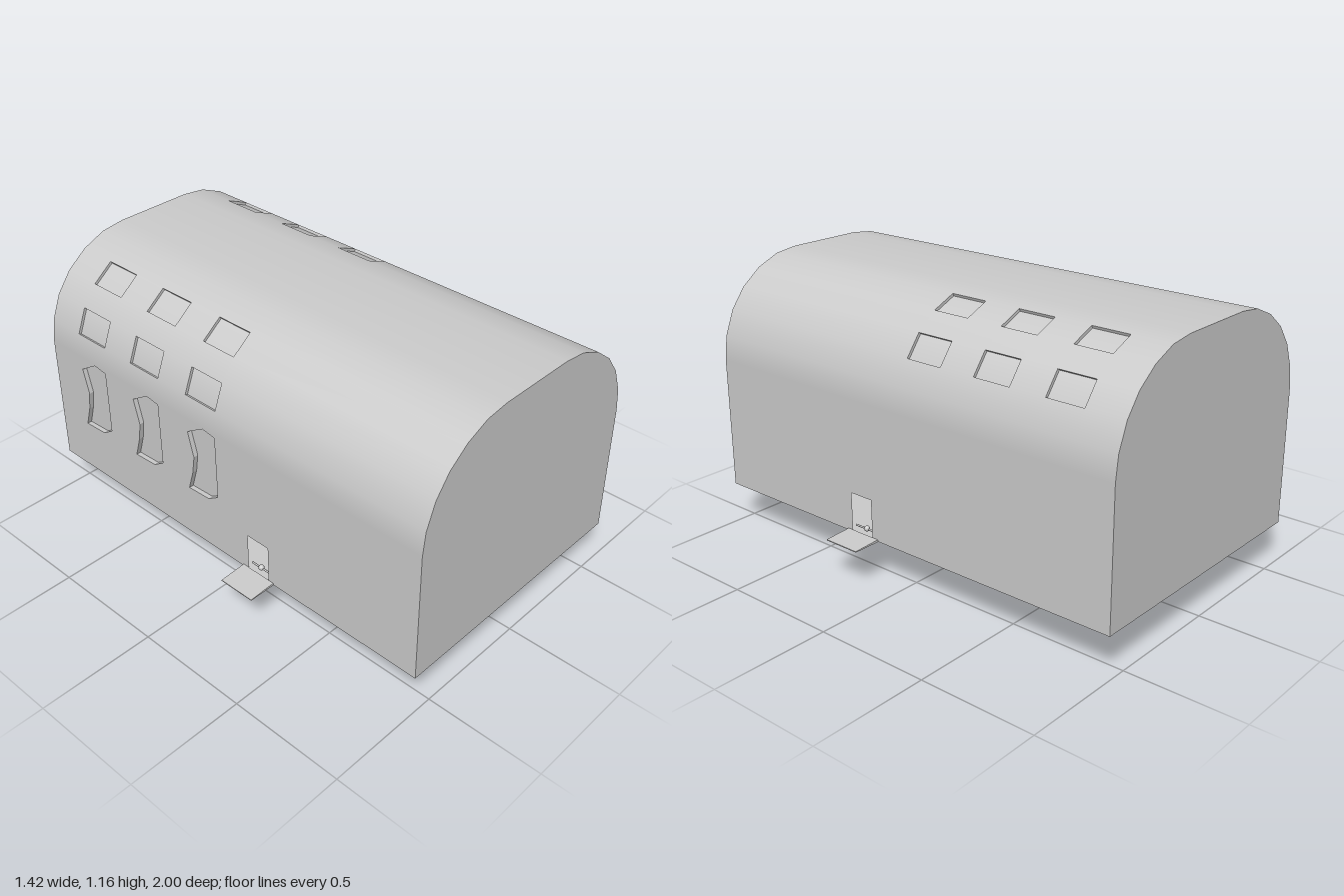
import * as THREE from 'three';

const FLOOR = 0.18, WALL = 0.59, EAVE = 0.75;
// right half of the arched cross-section, from eave to ridge
const HALF = [[WALL, EAVE], [0.577, 0.85], [0.535, 0.955], [0.47, 1.04], [0.382, 1.107], [0.28, 1.15], [0.175, 1.163]];
const PROFILE = [...HALF, ...HALF.slice().reverse().map(([x, y]) => [-x, y])];
const WINDOW_Z = [[-0.83, -0.665], [-0.505, -0.34], [-0.18, -0.015]];
const WINDOW_FACETS = [2, 4, 9, 11];

export function createModel() {
  const model = new THREE.Group();
  const mat = new THREE.MeshStandardMaterial({ color: 0xcccccc, side: THREE.DoubleSide });
  const add = (name, geometry, parent = model) => {
    const mesh = new THREE.Mesh(geometry, mat);
    mesh.name = name;
    parent.add(mesh);
    return mesh;
  };

  // outward direction of each roof facet, and smooth normal at each profile point
  const facet = i => {
    const [a, b] = [PROFILE[i], PROFILE[i + 1]];
    return new THREE.Vector2(b[1] - a[1], a[0] - b[0]).normalize();
  };
  const last = PROFILE.length - 1;
  const normals = PROFILE.map((_, i) => {
    if (i === 0) return new THREE.Vector2(1, 0);
    if (i === last) return new THREE.Vector2(-1, 0);
    return facet(i - 1).add(facet(i)).normalize();
  });

  // quads with given corners and optional corner normals
  const quads = list => {
    const pos = [], nor = [];
    for (const { p, n } of list)
      for (const k of [0, 1, 2, 0, 2, 3]) {
        pos.push(...p[k]);
        if (n) nor.push(...n[k]);
      }
    const g = new THREE.BufferGeometry();
    g.setAttribute('position', new THREE.Float32BufferAttribute(pos, 3));
    if (nor.length) g.setAttribute('normal', new THREE.Float32BufferAttribute(nor, 3));
    else g.computeVertexNormals();
    return g;
  };

  // arched roof with window openings, and the recessed panes behind them
  const zs = [-1, ...WINDOW_Z.flat(), 1];
  const roof = [], panes = [], reveals = [];
  for (let i = 0; i < last; i++) {
    const [a, b] = [PROFILE[i], PROFILE[i + 1]];
    const n0 = [normals[i].x, normals[i].y, 0], n1 = [normals[i + 1].x, normals[i + 1].y, 0];
    for (let j = 0; j < zs.length - 1; j++) {
      const p = [[...a, zs[j + 1]], [...a, zs[j]], [...b, zs[j]], [...b, zs[j + 1]]];
      if (!(WINDOW_FACETS.includes(i) && j % 2 === 1)) {
        roof.push({ p, n: [n0, n0, n1, n1] });
        continue;
      }
      const f = facet(i).multiplyScalar(0.012);
      const inner = p.map(([x, y, z]) => [x - f.x, y - f.y, z]);
      panes.push({ p: inner, n: [n0, n0, n1, n1] });
      for (let k = 0; k < 4; k++) {
        const m = (k + 1) % 4;
        reveals.push({ p: [p[k], p[m], inner[m], inner[k]] });
      }
    }
  }
  add('roof', quads(roof));
  add('roofWindowPanes', quads(panes));
  add('roofWindowReveals', quads(reveals));

  // side walls with doorways; shapes are drawn in (z, y)
  const outline = pts => pts.map(([x, y]) => new THREE.Vector2(x, y));
  const door = [[0.15, FLOOR], [0.15, 0.35], [0.26, 0.35], [0.26, FLOOR]];
  const wavy = z => [[-0.083, 0.45], [-0.055, 0.54], [-0.042, 0.62], [-0.07, 0.73], [0.02, 0.785],
    [0.085, 0.775], [0.085, 0.49], [0.03, 0.455]].map(([x, y]) => [x + z, y]);
  const wavyWindows = WINDOW_Z.map(([a, b]) => wavy((a + b) / 2).map(([x, y]) => [x, y - 0.04]));
  for (const side of [1, -1]) {
    const shape = new THREE.Shape(outline([[-1, FLOOR], ...door, [1, FLOOR], [1, EAVE], [-1, EAVE]]));
    if (side < 0) for (const w of wavyWindows) shape.holes.push(new THREE.Path(outline(w)));
    const g = new THREE.ShapeGeometry(shape).rotateY(-Math.PI / 2).translate(side * WALL, 0, 0);
    add(side > 0 ? 'leftWall' : 'rightWall', g);
  }

  // shaped windows in one wall, set slightly back
  for (const w of wavyWindows) {
    const x0 = -WALL, x1 = -WALL + 0.02;
    add('wallWindowPane', new THREE.ShapeGeometry(new THREE.Shape(outline(w))).rotateY(-Math.PI / 2).translate(x1, 0, 0));
    add('wallWindowReveal', quads(w.map(([z, y], k) => {
      const [z2, y2] = w[(k + 1) % w.length];
      return { p: [[x0, y, z], [x0, y2, z2], [x1, y2, z2], [x1, y, z]] };
    })));
  }

  // end walls
  const end = new THREE.Shape(outline([[-WALL, FLOOR], [WALL, FLOOR], ...PROFILE]));
  add('frontWall', new THREE.ShapeGeometry(end).translate(0, 0, 1));
  add('backWall', new THREE.ShapeGeometry(end).rotateY(Math.PI).translate(0, 0, -1));

  // floor
  add('floor', new THREE.PlaneGeometry(2 * WALL, 2).rotateX(Math.PI / 2).translate(0, FLOOR, 0));

  // sunken bowl under the floor
  const R = 0.28, cut = Math.acos((R - FLOOR) / R);
  const bowl = add('bowl', new THREE.SphereGeometry(R, 32, 12, 0, Math.PI * 2, Math.PI - cut, cut));
  bowl.position.set(0, R + 0.003, 0.565);

  // sloping doorstep plates and thresholds
  for (const side of [1, -1]) {
    const plate = new THREE.BoxGeometry(0.12, 0.004, 0.165);
    const p = plate.attributes.position;
    for (let i = 0; i < p.count; i++)
      if (p.getX(i) * side < 0 && p.getY(i) > 0) p.setY(i, 0.008);
    plate.computeVertexNormals();
    add('doorstep', plate).position.set(side * (WALL + 0.06), FLOOR, 0.2025);
    add('threshold', new THREE.CylinderGeometry(0.004, 0.004, 0.11, 8).rotateX(Math.PI / 2))
      .position.set(side * 0.57, 0.203, 0.205);
    add('doorKnob', new THREE.SphereGeometry(0.012, 12, 8)).position.set(side * 0.57, 0.205, 0.2);
  }

  // raised stage with a bowed front, just showing through the floor
  const stage = new THREE.Shape();
  stage.moveTo(-0.37, 0.835);
  stage.lineTo(0.37, 0.835);
  stage.lineTo(0.37, 0.69);
  stage.quadraticCurveTo(0.34, 0.61, 0.22, 0.605);
  stage.lineTo(-0.22, 0.605);
  stage.quadraticCurveTo(-0.34, 0.61, -0.37, 0.69);
  stage.closePath();
  add('stage', new THREE.ExtrudeGeometry(stage, { depth: 0.04, bevelEnabled: false })
    .rotateX(-Math.PI / 2).translate(0, FLOOR - 0.003, 0));

  // curved cable along the floor
  const path = new THREE.CatmullRomCurve3([[0.215, -0.81], [0.2, -0.65], [0.155, -0.447], [0.06, -0.25], [-0.04, -0.07]]
    .map(([x, z]) => new THREE.Vector3(x, FLOOR, z)));
  add('floorCable', new THREE.TubeGeometry(path, 24, 0.003, 6));

  return model;
}
